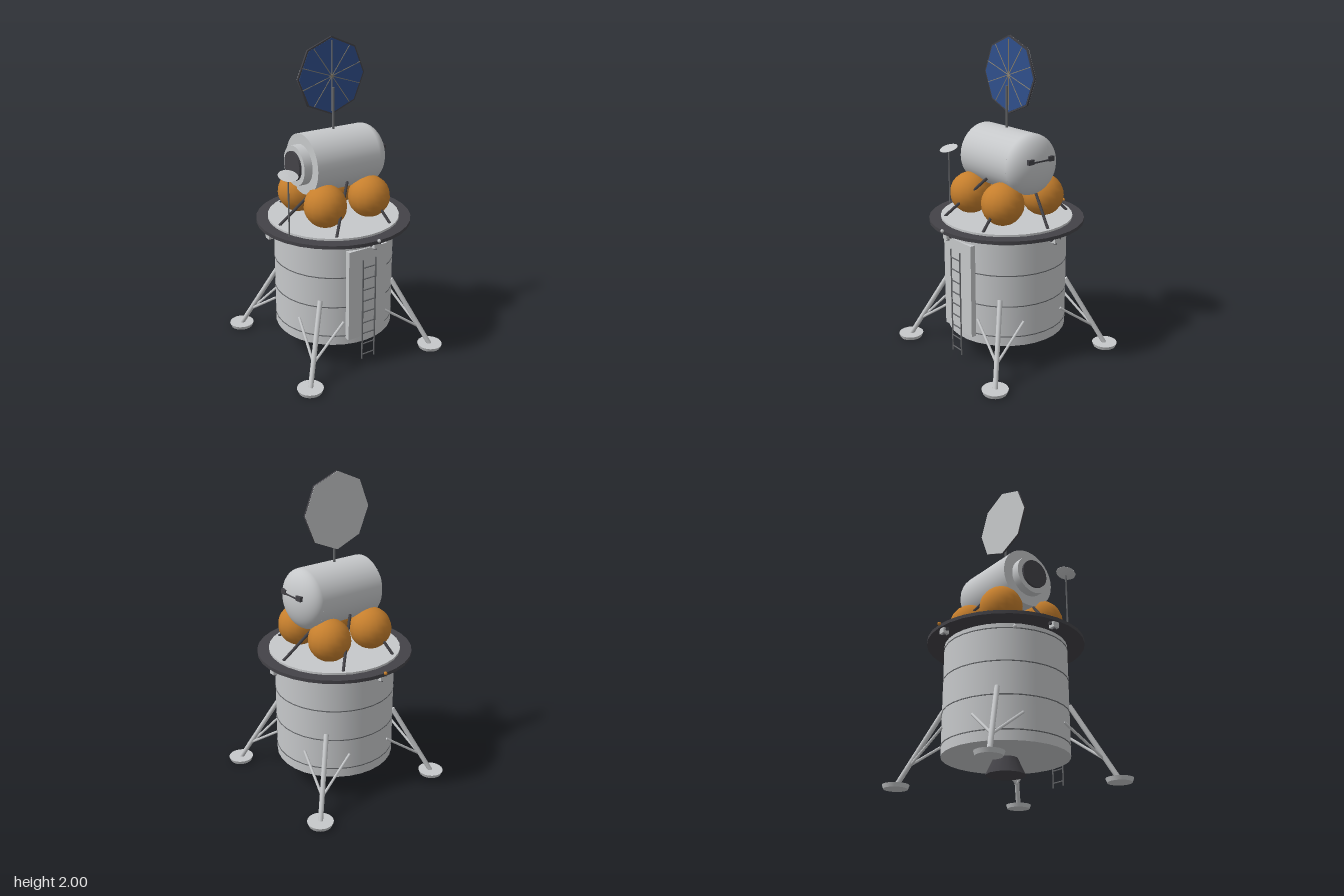
import * as THREE from 'three';

const mat = (name, color, extra = {}) => Object.assign(new THREE.MeshStandardMaterial({ color, ...extra }), { name });

export function createModel() {
  const model = new THREE.Group();
  model.name = 'lander';
  const hull = mat('hull grey', 0xc6c8ca);
  const dark = mat('dark grey', 0x434247);
  const trim = mat('trim grey', 0x66686b);
  const tankMat = mat('tank orange', 0xc67f2d);
  const blue = mat('panel blue', 0x304f8c);
  const tan = mat('spoke tan', 0x8f8672);

  const add = (name, geo, material, x = 0, y = 0, z = 0, parent = model) => {
    const m = new THREE.Mesh(geo, material);
    m.name = name;
    m.position.set(x, y, z);
    parent.add(m);
    return m;
  };
  const box = (name, w, h, d, material, x, y, z) => add(name, new THREE.BoxGeometry(w, h, d), material, x, y, z);
  // Upright cylinder between two heights
  const drum = (name, rTop, rBottom, y0, y1, material, sides = 32, x = 0, z = 0) =>
    add(name, new THREE.CylinderGeometry(rTop, rBottom, y1 - y0, sides), material, x, (y0 + y1) / 2, z);
  // Rod between two points
  const rod = (name, a, b, r, material, sides = 8) => {
    const A = new THREE.Vector3(...a), B = new THREE.Vector3(...b);
    const m = add(name, new THREE.CylinderGeometry(r, r, A.distanceTo(B), sides), material);
    m.position.copy(A).lerp(B, 0.5);
    m.quaternion.setFromUnitVectors(new THREE.Vector3(0, 1, 0), B.sub(A).normalize());
    return m;
  };
  const ball = (name, r, material, x, y, z, w = 12, h = 8) =>
    add(name, new THREE.SphereGeometry(r, w, h), material, x, y, z);

  // Descent body with thin seam bands
  drum('body', 0.38, 0.38, 0.16, 0.852, hull);
  drum('bodyNeck', 0.36, 0.36, 0.85, 0.865, hull);
  for (const y of [0.222, 0.422, 0.622, 0.824])
    drum('seamBand', 0.3825, 0.3825, y - 0.003, y + 0.003, trim);
  drum('engineBell', 0.07, 0.12, 0.06, 0.165, dark, 12);

  // Deck and its dark rim
  drum('deckRim', 0.488, 0.488, 0.863, 0.884, dark);
  drum('deck', 0.415, 0.415, 0.88, 0.897, hull);

  // Front panel and ladder
  box('frontPanel', 0.275, 0.595, 0.035, hull, 0, 0.502, 0.37);
  for (const x of [-0.046, 0.046])
    rod('ladderRail', [x, 0.05, 0.402], [x, 0.735, 0.402], 0.005, trim, 6);
  for (let i = 0; i < 9; i++) {
    const y = 0.08 + i * 0.0752;
    rod('ladderRung', [-0.046, y, 0.402], [0.046, y, 0.402], 0.004, trim, 6);
  }

  // Landing legs with two braces and a pad each
  for (const sx of [-1, 1]) for (const sz of [-1, 1]) {
    rod('legStrut', [sx * 0.268, 0.465, sz * 0.268], [sx * 0.456, 0.02, sz * 0.456], 0.0155, hull, 10);
    rod('legBrace', [sx * 0.15, 0.32, sz * 0.35], [sx * 0.4, 0.14, sz * 0.4], 0.0085, hull);
    rod('legBrace', [sx * 0.35, 0.32, sz * 0.15], [sx * 0.4, 0.14, sz * 0.4], 0.0085, hull);
    drum('footPad', 0.081, 0.072, 0, 0.024, hull, 20, sx * 0.458, sz * 0.458);
  }

  // Thruster blocks under the rim
  for (let i = 0; i < 4; i++) {
    const a = i * Math.PI / 2, c = Math.cos(a), s = Math.sin(a);
    const pod = new THREE.Group();
    pod.name = 'thrusterPod';
    pod.position.set(c * 0.455, 0.846, s * 0.455);
    pod.rotation.y = -a;
    model.add(pod);
    add('thrusterBlock', new THREE.BoxGeometry(0.04, 0.034, 0.04), hull, 0, 0, 0, pod);
    for (const d of [-1, 1]) {
      const n = add('thrusterNozzle', new THREE.CylinderGeometry(0.006, 0.012, 0.016, 8), dark, 0, 0.006, d * 0.026, pod);
      n.rotation.x = -d * Math.PI / 2;
    }
    add('thrusterNozzle', new THREE.CylinderGeometry(0.006, 0.012, 0.014, 8), dark, 0, -0.02, 0, pod);
  }

  // Small lamps on the rim and upper body
  ball('rimLampFront', 0.011, hull, 0, 0.885, 0.493);
  ball('rimLampBack', 0.011, tankMat, 0, 0.885, -0.493);
  for (let i = 0; i < 3; i++) {
    const a = i * Math.PI * 2 / 3;
    ball('bodyLamp', 0.013, hull, Math.sin(a) * 0.39, 0.828, Math.cos(a) * 0.39);
  }

  // Tanks
  for (const sx of [-1, 1]) for (const sz of [-1, 1])
    ball('tank', 0.132, tankMat, sx * 0.16, 1.027, sz * 0.16, 16, 12);

  // Six twisted struts carrying the cabin
  for (let i = 0; i < 6; i++) {
    const a = i * Math.PI / 3, b = a + Math.PI / 6;
    rod('cabinStrut', [Math.cos(a) * 0.39, 0.895, -Math.sin(a) * 0.39],
      [Math.cos(b) * 0.155, 1.15, -Math.sin(b) * 0.155], 0.009, dark);
  }

  // Cabin lying along x: barrel, dome, collar and hatch
  const cabinY = 1.258, R = 0.188;
  const lying = (name, r, x0, x1, material) => {
    const m = add(name, new THREE.CylinderGeometry(r, r, x1 - x0, 32), material, (x0 + x1) / 2, cabinY, 0);
    m.rotation.z = -Math.PI / 2;
  };
  lying('cabinBarrel', R, -0.225, 0.221, hull);
  lying('dockingCollar', 0.124, -0.28, -0.22, hull);
  lying('dockingHatch', 0.091, -0.295, -0.275, dark);
  const dome = add('cabinDome', new THREE.SphereGeometry(R, 32, 12, 0, Math.PI * 2, 0, Math.PI / 2), hull, 0.22, cabinY, 0);
  dome.rotation.z = -Math.PI / 2;
  dome.scale.y = 0.108 / R;

  // Cabin windows
  for (const s of [-1, 1])
    box('window', 0.026, 0.03, 0.042, dark, 0.315, 1.301, s * 0.077);
  box('windowBar', 0.012, 0.01, 0.12, dark, 0.321, 1.296, 0);

  // Large eight-sided dish: grey back, dark rim, blue face, thin spokes
  drum('dishMast', 0.008, 0.008, 1.43, 1.7, trim, 10);
  const dish = new THREE.Group();
  dish.name = 'dish';
  dish.position.set(0, 1.765, -0.023);
  model.add(dish);
  const plate = (name, r, depth, z, material) => {
    const m = add(name, new THREE.CylinderGeometry(r, r, depth, 8), material, 0, 0, z, dish);
    m.rotation.x = Math.PI / 2;
  };
  plate('dishRim', 0.235, 0.012, 0, dark);
  plate('dishBack', 0.234, 0.003, -0.0065, hull);
  plate('dishFace', 0.225, 0.004, 0.006, blue);
  for (let i = 0; i < 10; i++) {
    const a = i * Math.PI / 5 + Math.PI / 10;
    const s = add('dishSpoke', new THREE.BoxGeometry(0.212, 0.004, 0.003), tan,
      Math.cos(a) * 0.106, Math.sin(a) * 0.106, 0.009, dish);
    s.rotation.z = a;
  }

  // Small tilted antenna on a thin mast
  drum('antennaMast', 0.005, 0.005, 0.88, 1.25, trim, 8, -0.407, 0.152);
  const profile = [[0, -0.016], [0.03, -0.011], [0.06, 0], [0.06, 0.002], [0, 0.004]];
  const antenna = add('antennaDish',
    new THREE.LatheGeometry(profile.map(p => new THREE.Vector2(...p)), 20), hull, -0.407, 1.262, 0.152);
  antenna.rotation.x = 0.3;

  return model;
}
